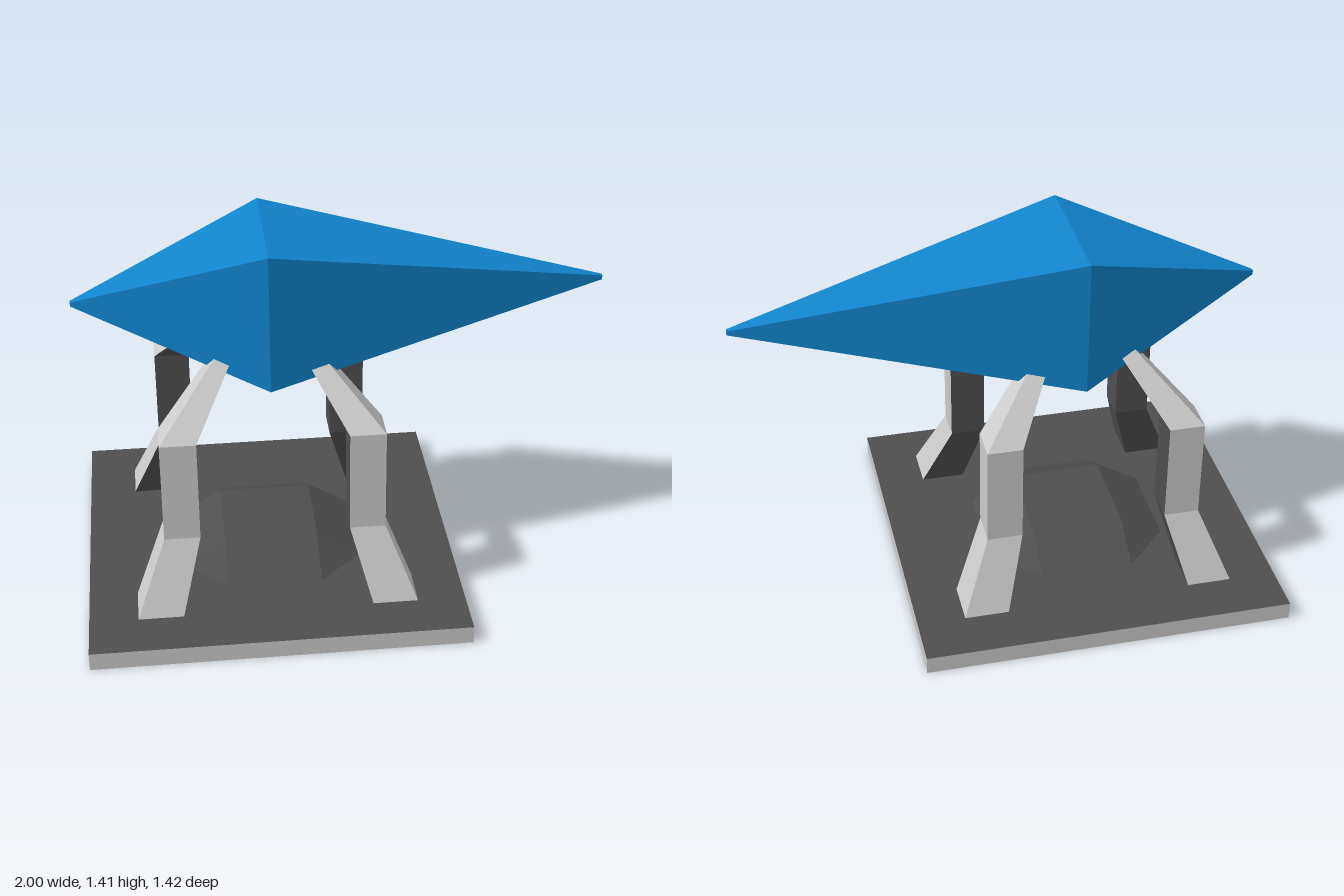
import * as THREE from 'three';
import { ConvexGeometry } from 'three/addons/geometries/ConvexGeometry.js';

const mat = (color) => new THREE.MeshStandardMaterial({ color, flatShading: true });

// Strip of quads joining neighbouring columns of points; columns run bottom to top
function panels(columns) {
  const pos = [];
  for (let c = 0; c + 1 < columns.length; c++) {
    const a = columns[c], b = columns[c + 1];
    for (let i = 0; i + 1 < a.length; i++) {
      pos.push(...a[i], ...b[i], ...b[i + 1], ...a[i], ...b[i + 1], ...a[i + 1]);
    }
  }
  const geo = new THREE.BufferGeometry();
  geo.setAttribute('position', new THREE.Float32BufferAttribute(pos, 3));
  geo.computeVertexNormals();
  return geo;
}

export function createModel() {
  const grey = mat(0xcccccc), dark = mat(0x4f4f4f), blue = mat(0x1184cc);
  const model = new THREE.Group();
  const cx = -0.29; // centre of the pedestal

  const add = (parent, name, geo, material) => {
    const mesh = new THREE.Mesh(geo, material);
    mesh.name = name;
    parent.add(mesh);
    return mesh;
  };

  // Square base slab: dark top and bottom, grey rim
  add(model, 'baseSlab', new THREE.BoxGeometry(1.42, 0.07, 1.42),
    [grey, grey, dark, dark, grey, grey]).position.set(cx, 0.035, 0);

  // Low mound: octagonal foot rising to a square top
  const pts = [];
  for (const sx of [-1, 1]) for (const sz of [-1, 1]) {
    pts.push(new THREE.Vector3(sx * 0.18, 0.168, sz * 0.18),
      new THREE.Vector3(sx * 0.18, 0.068, sz * 0.355),
      new THREE.Vector3(sx * 0.355, 0.068, sz * 0.18));
  }
  add(model, 'mound', new ConvexGeometry(pts), dark).position.x = cx;

  // Bent leg on the +x +z diagonal: [height, inner offset, outer offset]
  const levels = [[0.075, 0.357, 0.527], [0.35, 0.28, 0.415], [0.75, 0.28, 0.415], [1.05, 0.085, 0.132]];
  const column = (x, z) => levels.map((l) => [l[x], l[0], l[z]]);
  const outer = panels([column(1, 2), column(2, 2), column(2, 1)]);
  const inner = panels([column(2, 1), column(1, 1), column(1, 2)]);
  const [footY, fi, fo] = levels[0];
  const sole = panels([[[fi, footY, fi], [fi, footY, fo]], [[fo, footY, fi], [fo, footY, fo]]]);
  sole.scale(1, 1, 1);

  for (let k = 0; k < 4; k++) {
    const leg = new THREE.Group();
    leg.name = 'leg' + (k + 1);
    leg.position.x = cx;
    leg.rotation.y = k * Math.PI / 2;
    add(leg, 'legOuterFaces', outer, grey);
    add(leg, 'legInnerFaces', inner, dark);
    add(leg, 'legSole', sole, dark);
    model.add(leg);
  }

  // Long crystal: a box with a wide middle section, tapered to both ends
  const crystal = new THREE.BoxGeometry(2, 2, 2, 2, 1, 1);
  const p = crystal.attributes.position;
  for (let i = 0; i < p.count; i++) {
    const mid = Math.abs(p.getX(i)) < 0.5;
    const half = mid ? 0.27 : 0.008;
    p.setXYZ(i, mid ? -0.285 : p.getX(i), p.getY(i) * half, p.getZ(i) * half);
  }
  crystal.computeVertexNormals();
  add(model, 'crystal', crystal, blue).position.y = 1.14;

  return model;
}
